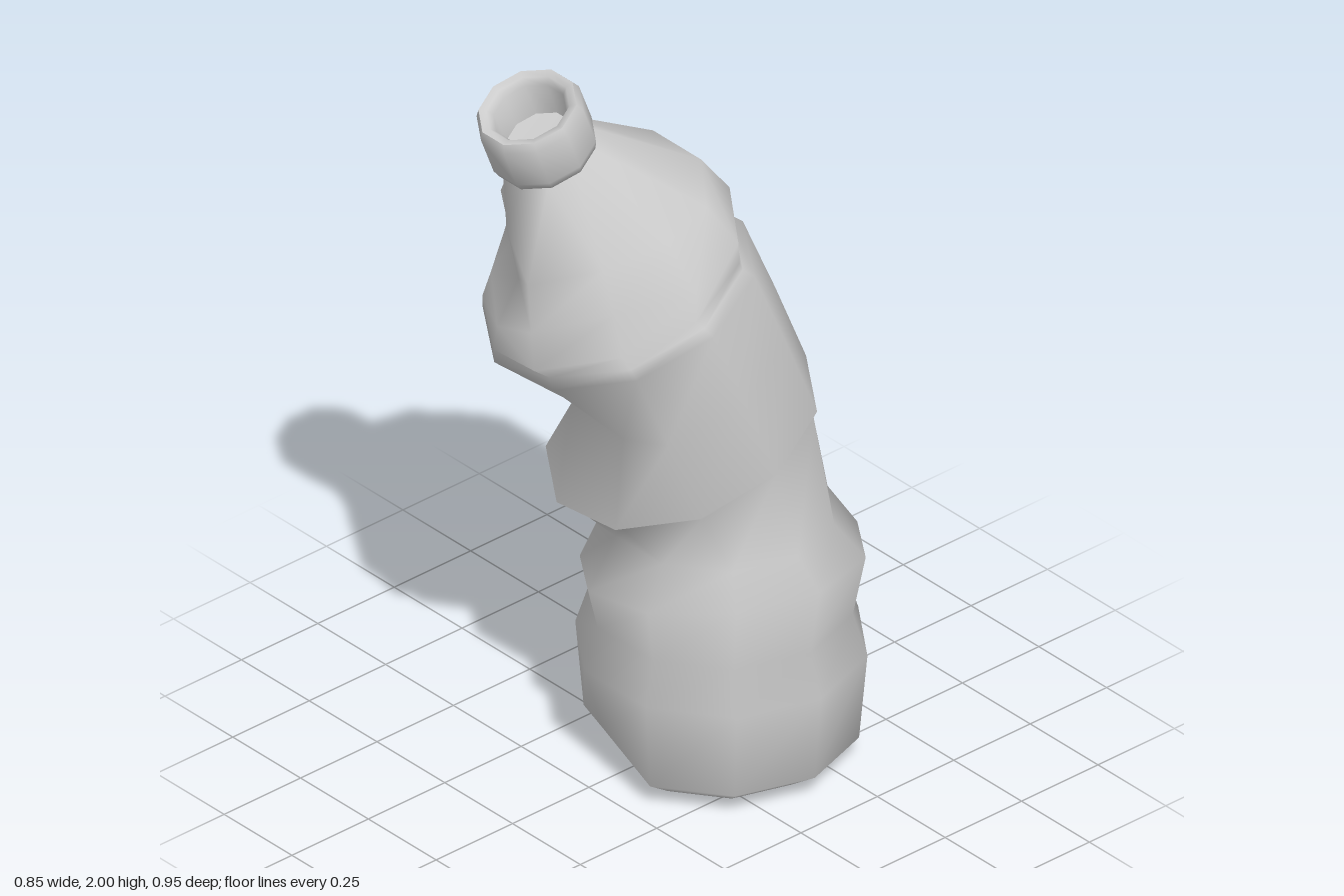
import * as THREE from 'three';
import { toCreasedNormals } from 'three/addons/utils/BufferGeometryUtils.js';

const SIDES = 10;

// Tilted ten-sided sections, bottom to top: name, centre x, centre z, height, radius x, radius z, slope in x, slope in z.
const SECTIONS = [
  ['foot', 0.06, -0.13, 0, 0.26, 0.26, 0, 0],
  ['heel', 0.06, -0.13, 0.06, 0.345, 0.345, 0, 0],
  ['base', 0.06, -0.13, 0.3, 0.367, 0.365, 0, 0],
  ['groove', 0.065, -0.125, 0.42, 0.33, 0.33, 0, 0],
  ['belt', 0.065, -0.13, 0.54, 0.357, 0.36, 0.18, 0.03],
  ['waist', 0.06, -0.13, 0.67, 0.282, 0.284, 0, 0],
  ['underSeam', -0.015, -0.078, 0.88, 0.333, 0.309, 0.1, -0.39],
  ['seam', -0.02, -0.07, 0.895, 0.35, 0.328, 0.1, -0.39],
  ['middle', -0.035, 0.015, 1.13, 0.345, 0.326, 0.1, -0.37],
  ['lip', -0.06, 0.1, 1.345, 0.352, 0.326, 0.1, -0.37],
  ['lipGroove', -0.065, 0.115, 1.375, 0.338, 0.312, 0.08, -0.37],
  ['shoulderLow', -0.075, 0.14, 1.41, 0.35, 0.335, 0.05, -0.33],
  ['shoulder', -0.08, 0.145, 1.5, 0.35, 0.347, 0, -0.21],
  ['slope', -0.09, 0.165, 1.6, 0.285, 0.297, 0, -0.23],
  ['neck', -0.12, 0.29, 1.805, 0.11, 0.11, 0, -0.41],
];

// Corners pushed out of place by the crushing, by section and corner number.
const DENTS = {
  foot: { 3: [-0.02, 0.1, 0.1] },
  heel: { 3: [-0.03, 0.13, 0.18] },
  middle: {
    2: [0.08, 1.03, 0.21], 3: [-0.13, 1.03, 0.19],
    4: [-0.24, 1.03, -0.21], 5: [-0.31, 1.07, -0.3],
  },
  shoulderLow: {
    0: [0.26, 1.42, 0.13], 1: [0.19, 1.36, 0.31],
    3: [-0.18, 1.31, 0.39], 4: [-0.34, 1.34, 0.27],
  },
  shoulder: {
    0: [0.24, 1.48, 0.11], 1: [0.15, 1.46, 0.3], 2: [0.04, 1.43, 0.475],
    3: [-0.18, 1.42, 0.32], 4: [-0.32, 1.43, 0.21], 5: [-0.427, 1.49, 0.16],
  },
  slope: {
    0: [0.18, 1.62, 0.15], 1: [0.11, 1.57, 0.3],
    3: [-0.18, 1.58, 0.36], 4: [-0.28, 1.59, 0.26],
  },
};

function bodyGeometry() {
  const positions = [];
  const index = [];
  for (const [name, cx, cz, height, rx, rz, slopeX, slopeZ] of SECTIONS) {
    for (let j = 0; j < SIDES; j++) {
      const a = (j / SIDES) * Math.PI * 2;
      const dx = rx * Math.cos(a);
      const dz = rz * Math.sin(a);
      const regular = [cx + dx, height + slopeX * dx + slopeZ * dz, cz + dz];
      positions.push(...(DENTS[name]?.[j] ?? regular));
    }
  }
  // Walls between neighbouring sections
  for (let i = 0; i < SECTIONS.length - 1; i++) {
    for (let j = 0; j < SIDES; j++) {
      const a = i * SIDES + j;
      const b = i * SIDES + ((j + 1) % SIDES);
      index.push(a, a + SIDES, b, b, a + SIDES, b + SIDES);
    }
  }
  // Slightly hollow underside
  const centre = positions.length / 3;
  positions.push(0.06, 0.03, -0.13);
  for (let j = 0; j < SIDES; j++) index.push(centre, j, (j + 1) % SIDES);

  const geometry = new THREE.BufferGeometry();
  geometry.setAttribute('position', new THREE.Float32BufferAttribute(positions, 3));
  geometry.setIndex(index);
  geometry.computeVertexNormals();
  return geometry;
}

// Open collar with an inner wall and a floor
function collarGeometry() {
  const profile = [
    [0.1, 0], [0.13, 0.006], [0.138, 0.03], [0.138, 0.145], [0.127, 0.167],
    [0.107, 0.163], [0.094, 0.145], [0.088, 0.05], [0, 0.045],
  ].map(([r, y]) => new THREE.Vector2(r, y));
  return toCreasedNormals(new THREE.LatheGeometry(profile, SIDES, Math.PI / 2), 1.2);
}

export function createModel() {
  const material = new THREE.MeshStandardMaterial({ color: 0xcccccc, side: THREE.DoubleSide });
  const bottle = new THREE.Group();
  bottle.name = 'crushedBottle';

  const body = new THREE.Mesh(bodyGeometry(), material);
  body.name = 'body';

  const collar = new THREE.Mesh(collarGeometry(), material);
  collar.name = 'collar';
  collar.position.set(-0.118, 1.8, 0.286);
  collar.rotation.x = 0.37;

  bottle.add(body, collar);
  return bottle;
}
